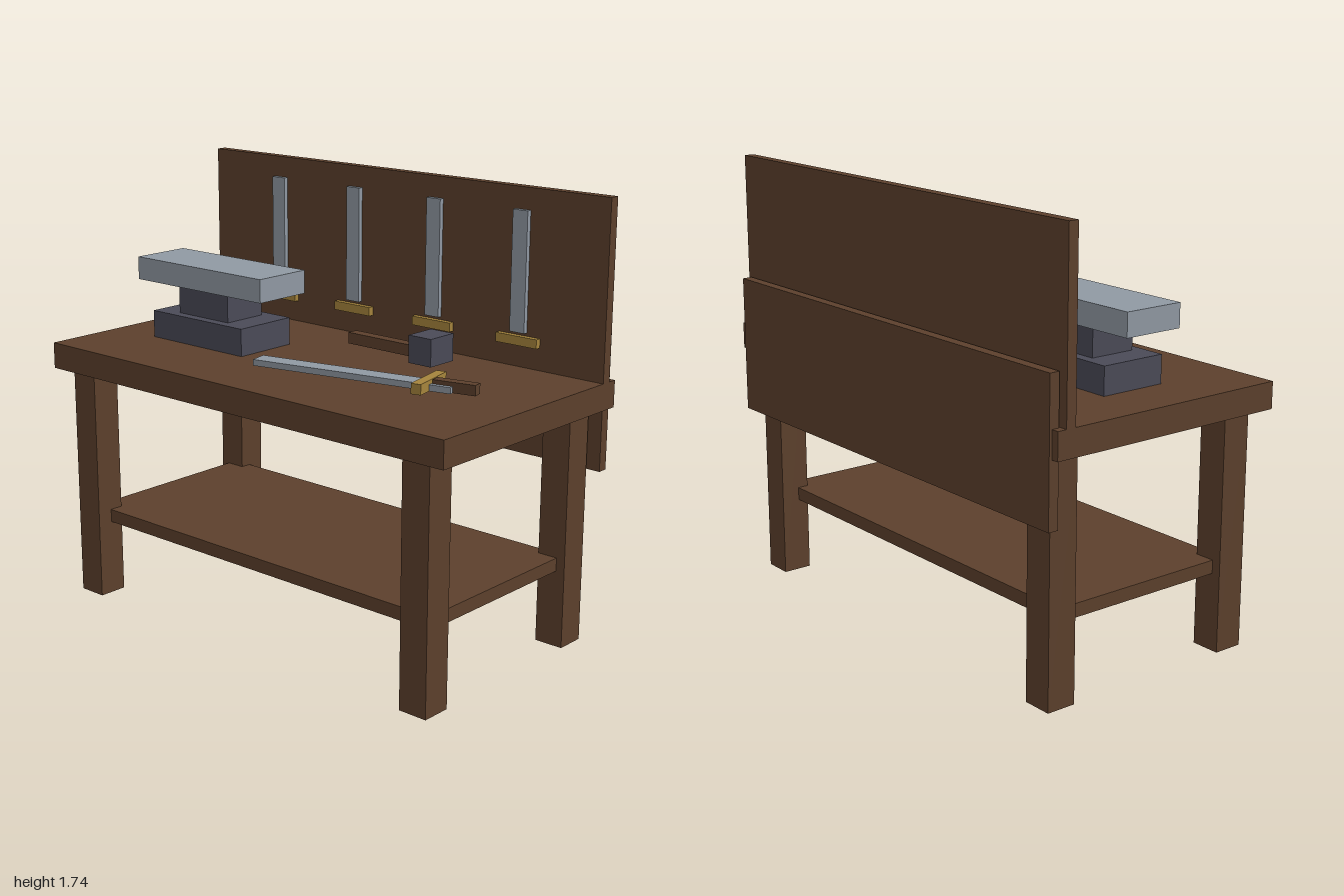
import * as THREE from 'three';

const material = (name, color) => {
  const m = new THREE.MeshStandardMaterial({ color });
  m.name = name;
  return m;
};

export function createModel() {
  const wood = material('brown wood', 0x5c402c);
  const iron = material('dark iron', 0x4a4a57);
  const steel = material('pale steel', 0x9099a3);
  const brass = material('brass', 0xa5843c);

  const model = new THREE.Group();
  model.name = 'workbench';

  // Box from its lower and upper limits on each axis
  function box(name, mat, [x0, x1], [y0, y1], [z0, z1], parent = model) {
    const mesh = new THREE.Mesh(new THREE.BoxGeometry(x1 - x0, y1 - y0, z1 - z0), mat);
    mesh.name = name;
    mesh.position.set((x0 + x1) / 2, (y0 + y1) / 2, (z0 + z1) / 2);
    parent.add(mesh);
    return mesh;
  }
  function group(name) {
    const g = new THREE.Group();
    g.name = name;
    model.add(g);
    return g;
  }

  // Table
  box('tableTop', wood, [-1, 1], [0.945, 1.05], [-0.506, 0.517]);
  for (const [x, side] of [[-0.857, 'Right'], [0.857, 'Left']]) {
    for (const [z, end] of [[0.424, 'front'], [-0.406, 'back']]) {
      box(`${end}${side}Leg`, wood, [x - 0.06, x + 0.06], [0, 0.945], [z - 0.06, z + 0.06]);
    }
  }
  box('shelf', wood, [-0.88, 0.88], [0.307, 0.36], [-0.39, 0.42]);
  box('toolBoard', wood, [-1, 1], [1.05, 1.74], [-0.469, -0.428]);
  box('backPanel', wood, [-0.97, 0.97], [0.692, 1.243], [-0.517, -0.476]);

  // Anvil
  const anvil = group('anvil');
  box('anvilBase', iron, [-0.775, -0.275], [1.05, 1.16], [-0.102, 0.174], anvil);
  box('anvilWaist', iron, [-0.665, -0.39], [1.16, 1.275], [-0.06, 0.132], anvil);
  box('anvilTop', steel, [-0.872, -0.18], [1.275, 1.368], [-0.088, 0.163], anvil);

  // Hammer
  const hammer = group('hammer');
  box('hammerHandle', wood, [-0.042, 0.33], [1.075, 1.12], [-0.241, -0.195], hammer);
  box('hammerHead', iron, [0.305, 0.414], [1.065, 1.174], [-0.281, -0.145], hammer);

  // Sword lying on the table, built along x and then turned
  const sword = group('tableSword');
  box('swordBlade', steel, [-0.415, 0.415], [-0.012, 0.012], [-0.038, 0.038], sword);
  box('swordGuard', brass, [0.29, 0.33], [-0.012, 0.028], [-0.105, 0.105], sword);
  box('swordGrip', wood, [0.335, 0.505], [-0.012, 0.028], [-0.02, 0.02], sword);
  sword.position.set(0.277, 1.072, 0.141);
  sword.rotation.y = 0.22;

  // Blades hung on the board
  for (const x of [-0.623, -0.21, 0.204, 0.617]) {
    const hung = group('hangingSword');
    box('hangingBlade', steel, [x - 0.034, x + 0.034], [1.187, 1.655], [-0.428, -0.409], hung);
    box('hangingGuard', brass, [x - 0.095, x + 0.095], [1.138, 1.174], [-0.428, -0.405], hung);
  }
  return model;
}
